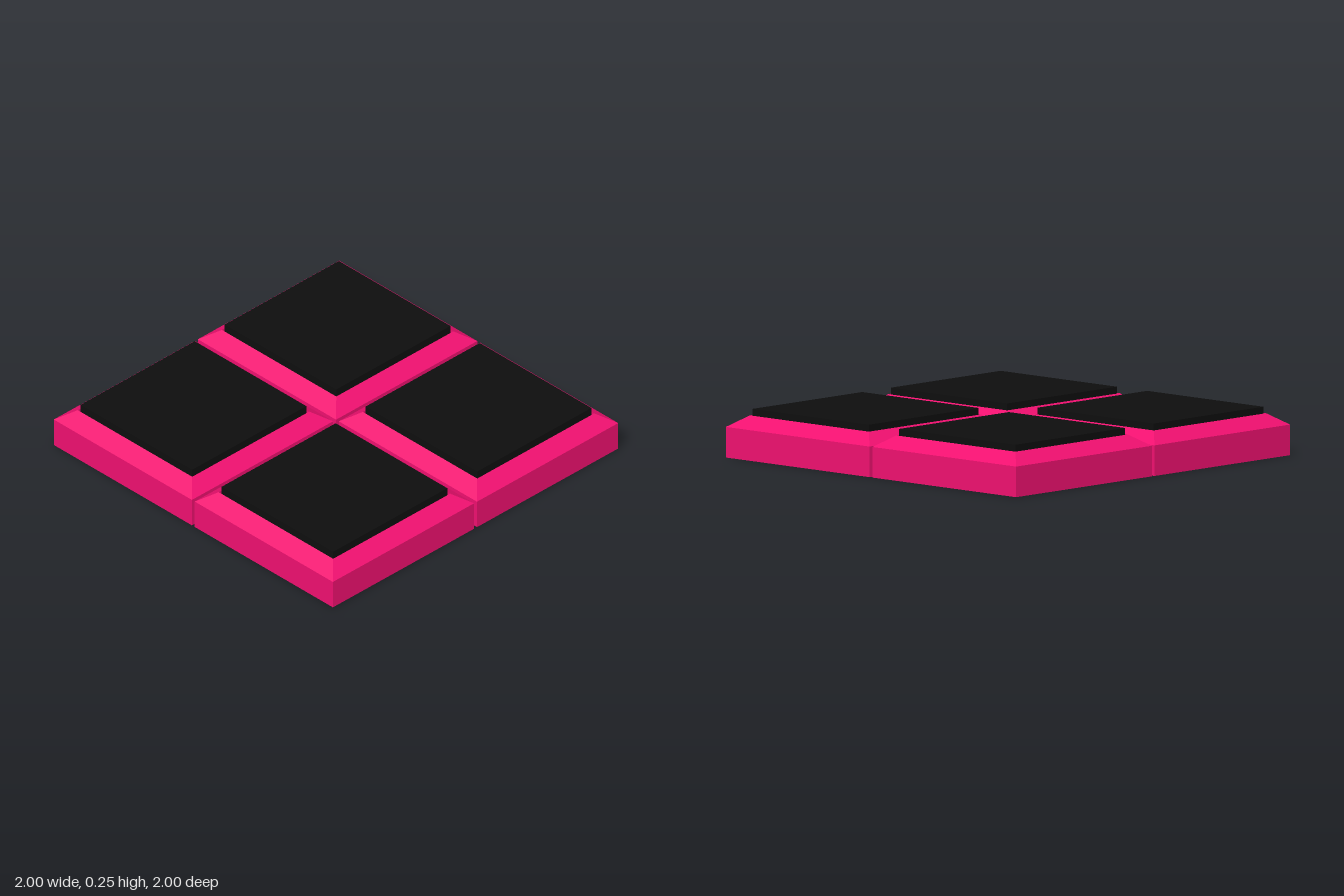
import * as THREE from 'three';

const HALF = 0.495;   // half width of one tile
const HOLE = 0.41;    // half width of the opening in the frame
const PAD = 0.8;      // width of the pad
const CENTRE = 0.505; // tile offset from the middle

// Square ring: a closed profile swept around four sides
function frameGeometry() {
  const profile = [[HOLE, 0], [HALF, 0], [HALF, 0.155], [HOLE, 0.213], [HOLE, 0]]
    .map(([r, y]) => new THREE.Vector2(r * Math.SQRT2, y));
  const geometry = new THREE.LatheGeometry(profile, 4).rotateY(Math.PI / 4).toNonIndexed();
  geometry.computeVertexNormals();
  return geometry;
}

export function createModel() {
  const model = new THREE.Group();
  model.name = 'fourTilePanel';

  const pink = new THREE.MeshStandardMaterial({ color: 0xf01070 });
  const black = new THREE.MeshStandardMaterial({ color: 0x0e0e0e });
  const frameShape = frameGeometry();
  const padShape = new THREE.BoxGeometry(PAD, 0.246, PAD).translate(0, 0.123, 0);

  for (const x of [-1, 1]) {
    for (const z of [-1, 1]) {
      const tile = new THREE.Group();
      tile.name = `${z > 0 ? 'front' : 'back'}${x > 0 ? 'Left' : 'Right'}Tile`;
      // Bevelled frame
      const frame = new THREE.Mesh(frameShape, pink);
      frame.name = 'frame';
      // Raised pad standing in the frame with a narrow gap all round
      const pad = new THREE.Mesh(padShape, black);
      pad.name = 'pad';
      tile.add(frame, pad);
      tile.position.set(x * CENTRE, 0, z * CENTRE);
      model.add(tile);
    }
  }
  return model;
}
